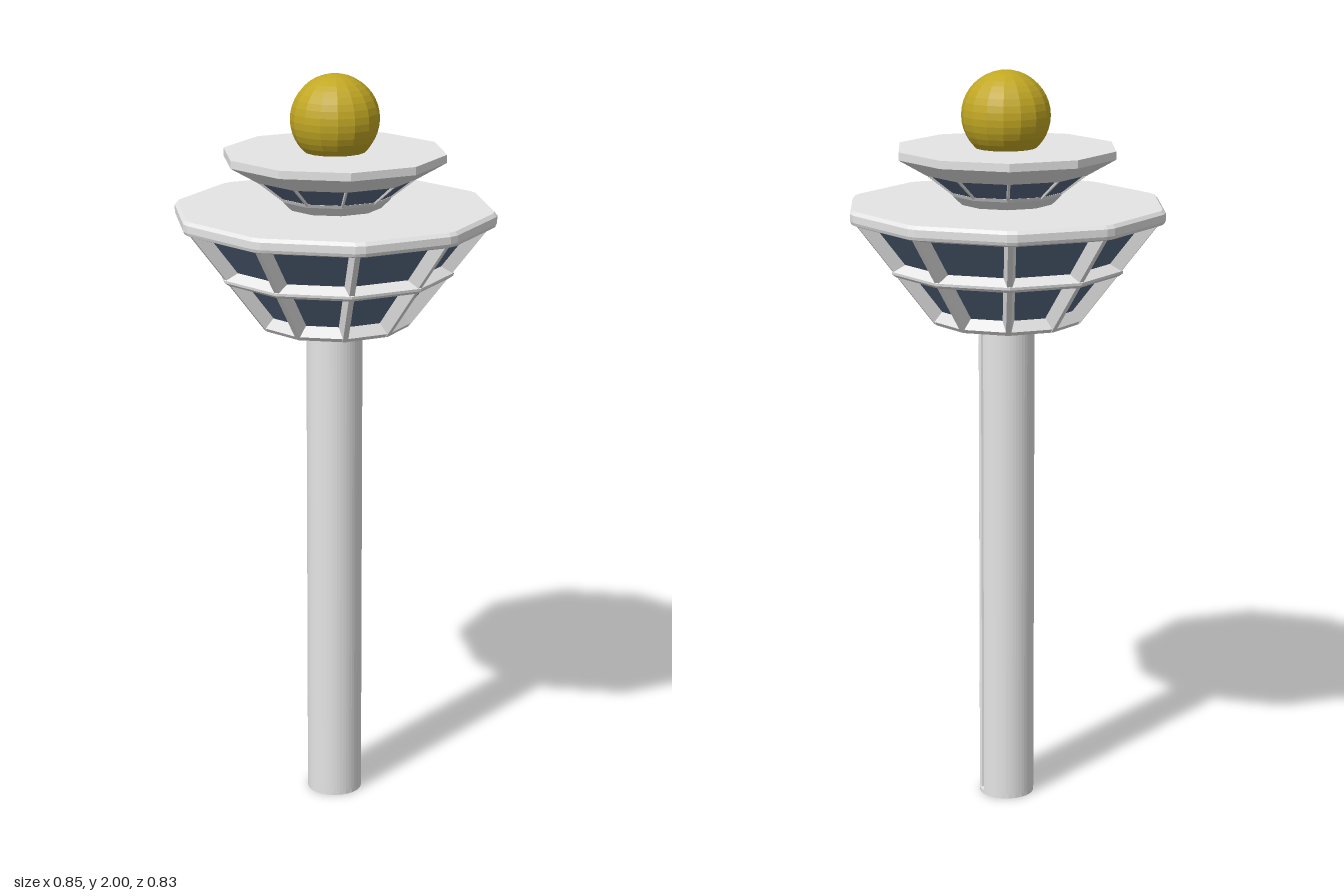
import * as THREE from 'three';

const material = (name, color) => {
  const m = new THREE.MeshStandardMaterial({ color, flatShading: true });
  m.name = name;
  return m;
};

export function createModel() {
  const group = new THREE.Group();
  const concrete = material('concrete grey', 0xe5e5e5);
  const glass = material('blue grey glass', 0x586a82);
  const gold = material('gold', 0xc2a824);

  const add = (name, geometry, mat, parent = group) => {
    const mesh = new THREE.Mesh(geometry, mat);
    mesh.name = name;
    parent.add(mesh);
    return mesh;
  };

  // Ten-sided ring or solid from a [corner radius, height] profile, corners on the x axis
  const decagon = (profile) =>
    new THREE.LatheGeometry(profile.map(([r, y]) => new THREE.Vector2(r, y)), 10, Math.PI / 2);

  // Same, but with every corner cut; the profile holds [flat-side distance, height]
  const cutDecagon = (profile, cut) => {
    const g = new THREE.LatheGeometry(profile.map(([r, y]) => new THREE.Vector2(r, y)), 20);
    const pos = g.attributes.position;
    for (let n = 0; n < pos.count; n++) {
      const i = Math.floor(n / profile.length);
      const [a, y] = profile[n % profile.length];
      const angle = Math.PI / 2 + Math.floor((i + 1) / 2) * Math.PI / 5 + (i % 2 ? -cut : cut);
      const r = a / Math.cos(Math.PI / 10 - cut);
      // the rim is slightly narrower across x than across z
      pos.setXYZ(n, 0.984 * r * Math.sin(angle), y, 1.01 * r * Math.cos(angle));
    }
    return g;
  };

  // Ten sloping ribs from [r, y] to [r, y], tapering towards their outer edge
  const ribs = (name, [r0, y0], [r1, y1], width, depth) => {
    const length = Math.hypot(r1 - r0, y1 - y0);
    const g = new THREE.BoxGeometry(depth, length, width);
    const pos = g.attributes.position;
    for (let i = 0; i < pos.count; i++) if (pos.getX(i) > 0) pos.setZ(i, pos.getZ(i) * 0.45);
    g.translate(-depth / 2, 0, 0);
    g.rotateZ(-Math.atan2(r1 - r0, y1 - y0));
    g.translate((r0 + r1) / 2, (y0 + y1) / 2, 0);
    const set = new THREE.Group();
    set.name = name + 's';
    group.add(set);
    for (let k = 0; k < 10; k++) add(name, g, concrete, set).rotation.y = k * Math.PI / 5;
  };

  // Shaft with a narrow window groove on its +x side, closed at both ends
  const R = 0.0745, a = Math.asin(0.018 / R);
  const outline = new THREE.Shape();
  outline.absarc(0, 0, R, a, Math.PI * 2 - a, false);
  outline.lineTo(0.068, -0.012);
  outline.lineTo(0.052, -0.011);
  outline.lineTo(0.052, 0.011);
  outline.lineTo(0.068, 0.012);
  outline.closePath();
  const shaft = new THREE.ExtrudeGeometry(outline, { depth: 1.32, bevelEnabled: false, curveSegments: 24 });
  add('shaft', shaft.rotateX(-Math.PI / 2).translate(0, 0.01, 0), concrete);
  for (const y of [0.005, 1.335])
    add('shaftEnd', new THREE.CylinderGeometry(R, R, 0.01, 24).translate(0, y, 0), concrete);
  const strip = new THREE.BoxGeometry(0.006, 1.32, 0.022);
  add('shaftWindow', strip.translate(0.051, 0.67, 0), glass);

  // Main pod: floor, recessed glass, ribs, middle band and thick rim
  add('podFloor', decagon([[0, 1.338], [0.198, 1.338], [0.206, 1.348], [0.19, 1.375], [0, 1.375]]), concrete);
  add('podGlass', decagon([[0.177, 1.36], [0.368, 1.61]]), glass);
  ribs('podRib', [0.2, 1.34], [0.414, 1.62], 0.03, 0.034);
  add('podBand', decagon([[0.252, 1.462], [0.305, 1.473], [0.316, 1.481], [0.317, 1.488], [0.288, 1.508]]), concrete);
  add('podRim', cutDecagon([[0, 1.602], [0.348, 1.602], [0.4, 1.613], [0.41, 1.617], [0.413, 1.625],
    [0.413, 1.644], [0.405, 1.653], [0, 1.653]], 0.03), concrete);

  // Upper cab: base, glass, ribs and overhanging roof
  add('cabBase', decagon([[0.118, 1.648], [0.148, 1.677], [0.153, 1.686], [0, 1.686]]), concrete);
  add('cabGlass', decagon([[0.146, 1.682], [0.216, 1.738]]), glass);
  ribs('cabRib', [0.149, 1.68], [0.222, 1.737], 0.012, 0.01);
  add('cabRoof', decagon([[0, 1.734], [0.219, 1.734], [0.29, 1.775], [0.295, 1.778], [0.295, 1.799], [0, 1.799]]), concrete);

  // Gold radar ball
  add('radarBall', new THREE.SphereGeometry(0.117, 16, 20).translate(0.003, 1.883, -0.003), gold);

  return group;
}
